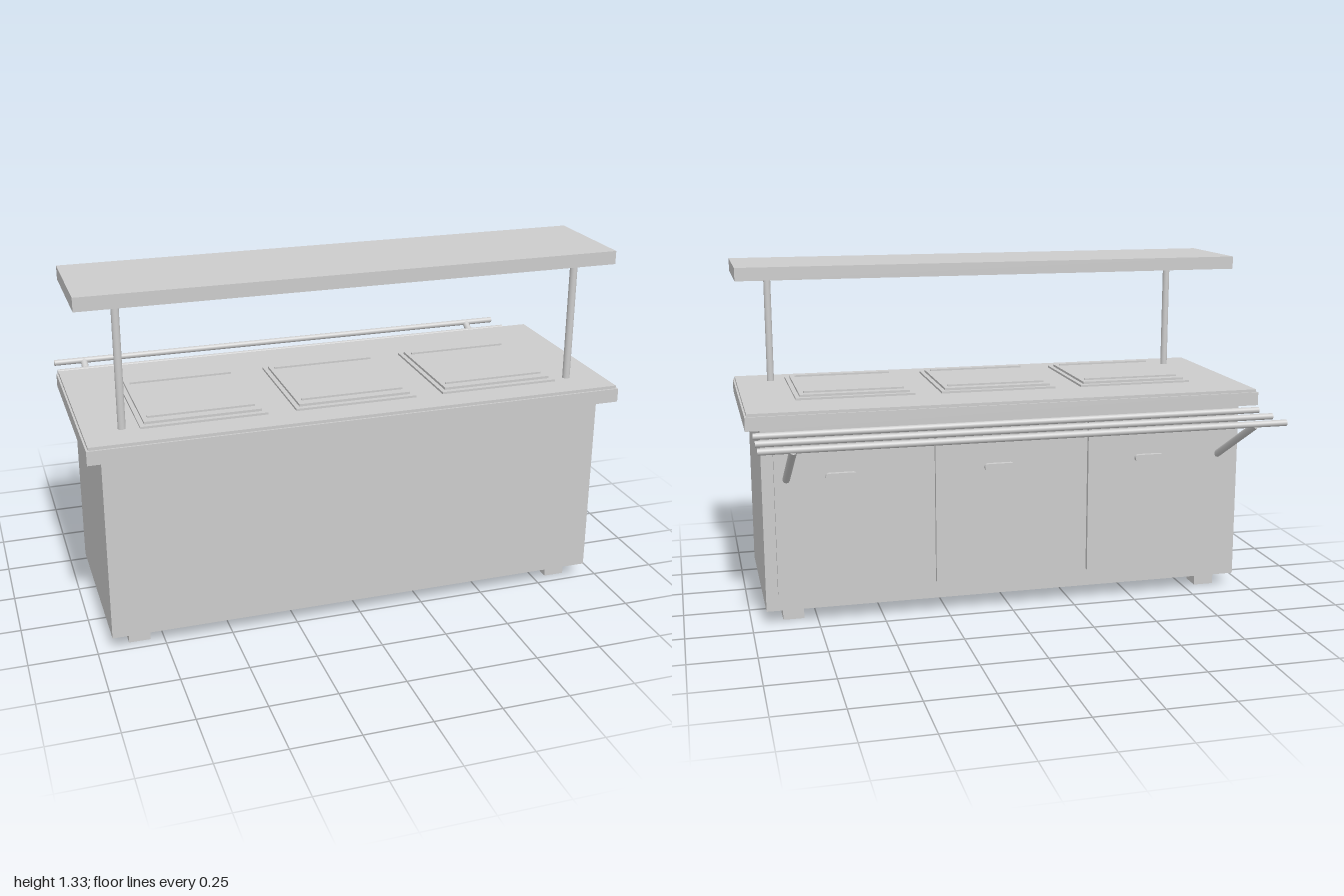
import * as THREE from 'three';

const material = new THREE.MeshStandardMaterial({ color: 0xcccccc });

export function createModel() {
  const model = new THREE.Group();
  model.name = 'servingCounter';

  const add = (name, geometry) => {
    const mesh = new THREE.Mesh(geometry, material);
    mesh.name = name;
    model.add(mesh);
    return mesh;
  };

  // Box given by its limits on each axis
  const box = (name, [x0, x1], [y0, y1], [z0, z1]) => {
    const mesh = add(name, new THREE.BoxGeometry(x1 - x0, y1 - y0, z1 - z0));
    mesh.position.set((x0 + x1) / 2, (y0 + y1) / 2, (z0 + z1) / 2);
    return mesh;
  };

  // Round bar between two points
  const bar = (name, from, to, radius) => {
    const a = new THREE.Vector3(...from);
    const b = new THREE.Vector3(...to);
    const dir = b.clone().sub(a);
    const mesh = add(name, new THREE.CylinderGeometry(radius, radius, dir.length(), 24));
    mesh.position.copy(a).add(b).multiplyScalar(0.5);
    mesh.quaternion.setFromUnitVectors(new THREE.Vector3(0, 1, 0), dir.normalize());
    return mesh;
  };

  // Cabinet and worktop
  box('cabinet', [-0.945, 0.945], [0.055, 0.77], [-0.187, 0.5]);
  box('worktop', [-1, 1], [0.767, 0.819], [-0.247, 0.56]);
  box('worktopSurface', [-0.993, 0.993], [0.819, 0.83], [-0.24, 0.553]);

  // Feet, sneeze-shelf posts and tray-rail arms, mirrored left and right
  for (const side of [-1, 1]) {
    for (const z of [0.415, -0.1]) {
      const x = side * 0.84;
      box('foot', [x - 0.04, x + 0.04], [0, 0.056], [z - 0.04, z + 0.04]);
    }
    const x = side * 0.855;
    bar('shelfPost', [x, 0.825, 0.415], [x, 1.285, 0.415], 0.014);
    bar('trayRailArm', [x, 0.567, -0.197], [x, 0.758, -0.545], 0.014);
  }

  // Overhead shelf
  box('overheadShelf', [-1, 1], [1.278, 1.328], [0.045, 0.463]);

  // Tray rails along the back
  for (const z of [-0.302, -0.424, -0.544]) {
    bar('trayRail', [-0.977, 0.76, z], [0.977, 0.76, z], 0.012);
  }

  // Food wells: frame, lid and two grip bars
  for (const x of [-0.565, 0, 0.565]) {
    box('wellFrame', [x - 0.23, x + 0.23], [0.828, 0.838], [-0.028, 0.442]);
    box('wellLid', [x - 0.213, x + 0.213], [0.837, 0.847], [-0.008, 0.422]);
    for (const z of [0.03, 0.384]) {
      box('lidGrip', [x - 0.195, x + 0.195], [0.846, 0.854], [z - 0.004, z + 0.004]);
    }
  }

  // Rounded pull outline shared by the three doors
  const pull = new THREE.Shape();
  pull.absarc(0.045, 0, 0.014, -Math.PI / 2, Math.PI / 2, false);
  pull.absarc(-0.045, 0, 0.014, Math.PI / 2, Math.PI * 1.5, false);
  pull.closePath();
  const pullGeometry = new THREE.ExtrudeGeometry(pull, {
    depth: 0.02, bevelEnabled: false, curveSegments: 12,
  });

  // Doors on the back, each with a pull
  for (const x of [-0.607, 0, 0.607]) {
    box('door', [x - 0.293, x + 0.293], [0.125, 0.735], [-0.204, -0.185]);
    add('doorPull', pullGeometry).position.set(x + 0.045, 0.572, -0.222);
  }

  return model;
}
